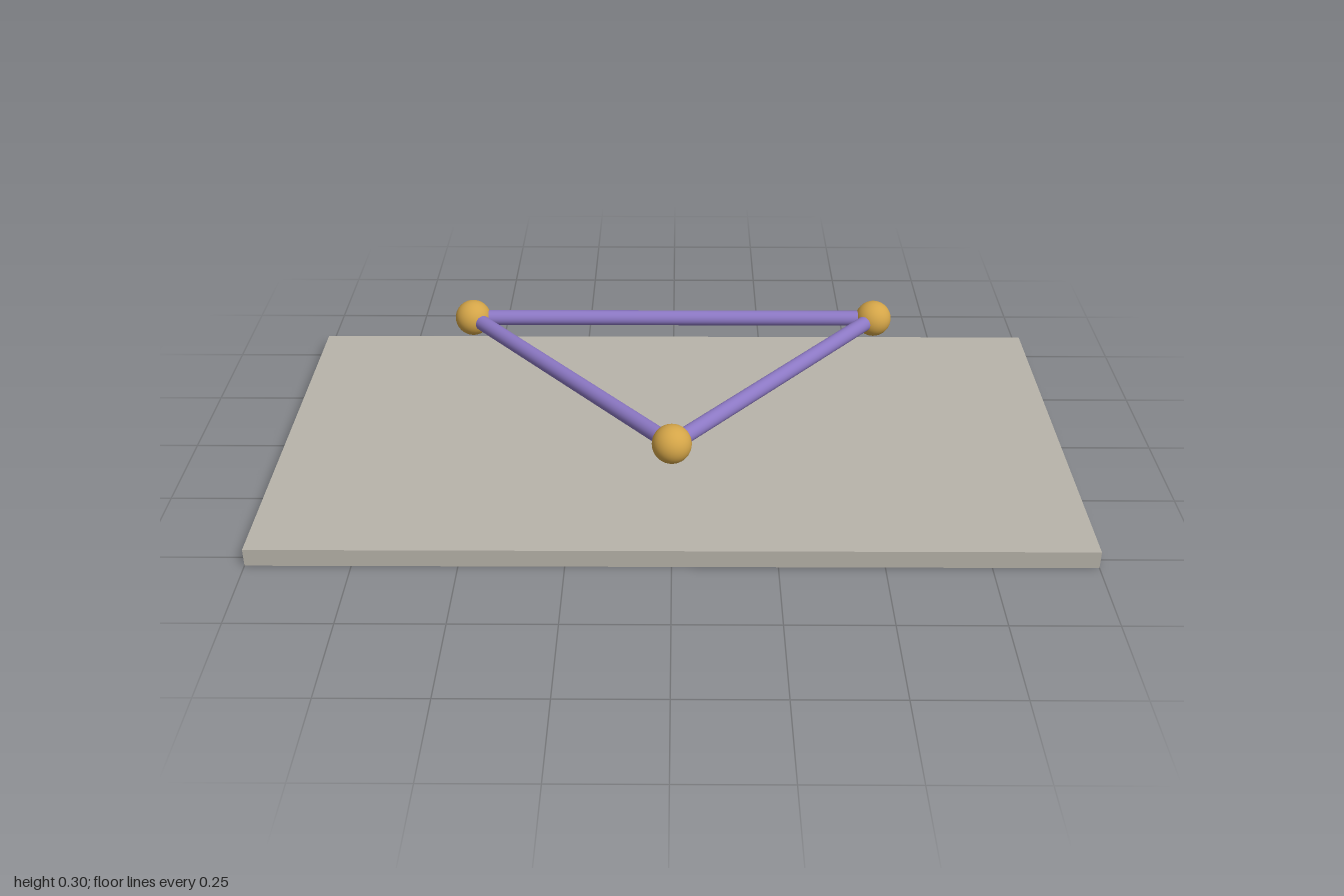
import * as THREE from 'three';

export function createModel() {
  const model = new THREE.Group();
  const stone = new THREE.MeshStandardMaterial({ color: 0xb8b4aa });
  const gold = new THREE.MeshStandardMaterial({ color: 0xd4a548 });
  const purple = new THREE.MeshStandardMaterial({ color: 0x8c78c4 });
  stone.name = 'warm grey';
  gold.name = 'gold';
  purple.name = 'purple';

  const add = (name, geometry, material, position) => {
    const mesh = new THREE.Mesh(geometry, material);
    mesh.name = name;
    mesh.position.copy(position);
    model.add(mesh);
    return mesh;
  };

  // Flat base plate
  const thickness = 0.045;
  add('basePlate', new THREE.BoxGeometry(2, thickness, 1.066), stone,
    new THREE.Vector3(0, thickness / 2, 0));

  // Triangle floating above the plate: a ball at each corner, a rod along each side
  const y = 0.252;
  const corners = [
    new THREE.Vector3(0, y, 0.393),
    new THREE.Vector3(0.536, y, -0.25),
    new THREE.Vector3(-0.536, y, -0.25),
  ];
  const ballNames = ['frontBall', 'backLeftBall', 'backRightBall'];
  const rodNames = ['leftRod', 'backRod', 'rightRod'];
  const up = new THREE.Vector3(0, 1, 0);

  corners.forEach((corner, i) => {
    add(ballNames[i], new THREE.SphereGeometry(0.047, 32, 20), gold, corner);

    const next = corners[(i + 1) % corners.length];
    const along = next.clone().sub(corner);
    const middle = corner.clone().add(next).multiplyScalar(0.5);
    const rod = add(rodNames[i],
      new THREE.CylinderGeometry(0.02, 0.02, along.length(), 24), purple, middle);
    rod.quaternion.setFromUnitVectors(up, along.normalize());
  });

  return model;
}
